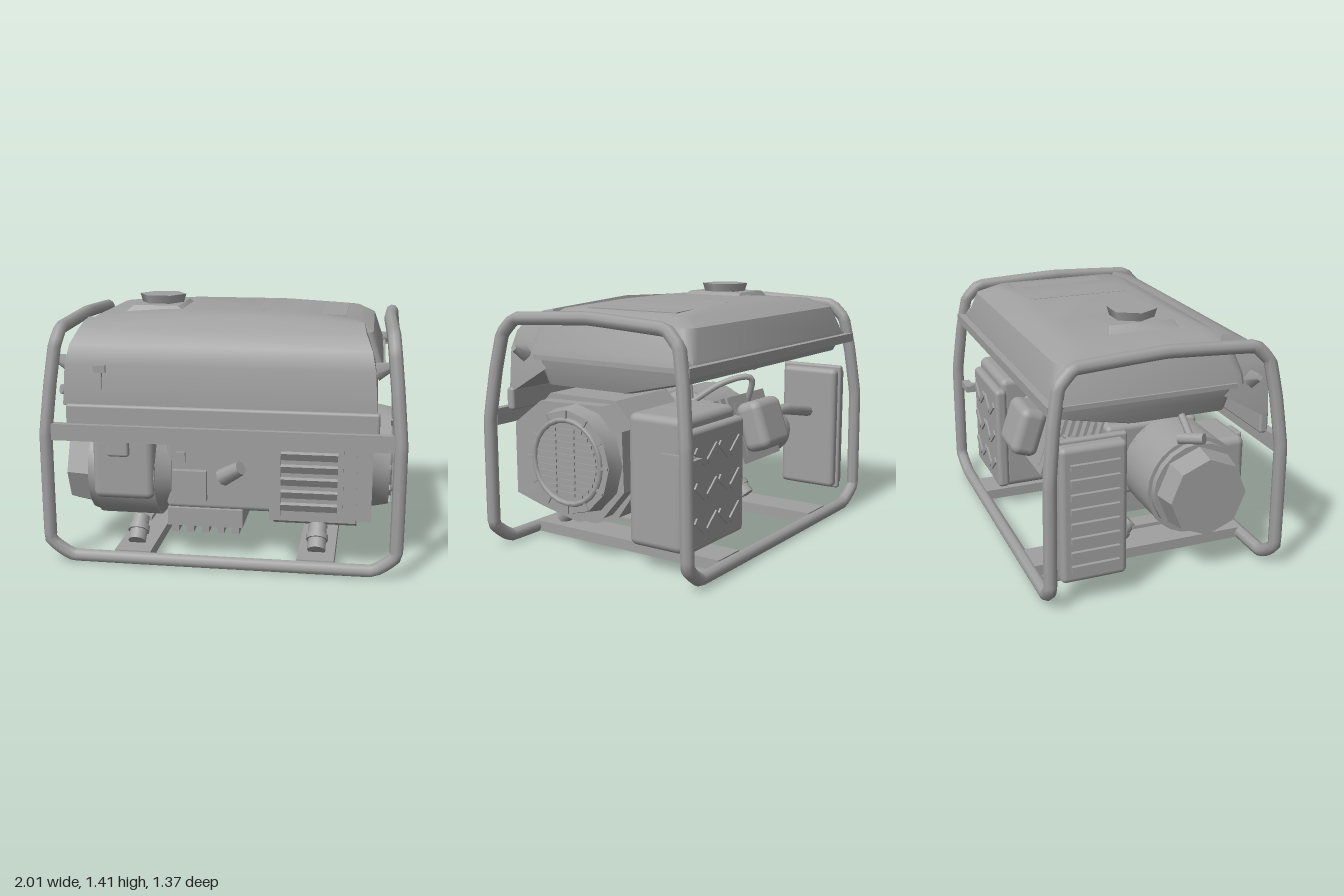
import * as THREE from 'three';
import { toCreasedNormals } from 'three/addons/utils/BufferGeometryUtils.js';
import { RoundedBoxGeometry } from 'three/addons/geometries/RoundedBoxGeometry.js';
import { ConvexGeometry } from 'three/addons/geometries/ConvexGeometry.js';

export function createModel() {
  const root = new THREE.Group();
  root.name = 'generator';
  const grey = new THREE.MeshStandardMaterial({ color: 0xa0a0a0 });
  grey.name = 'plain grey';

  const add = (name, geo, pos = [0, 0, 0], rot = [0, 0, 0], parent = root) => {
    const m = new THREE.Mesh(geo, grey);
    m.name = name;
    m.position.set(...pos);
    m.rotation.set(...rot);
    parent.add(m);
    return m;
  };
  // box given by its limits
  const box = (name, x0, x1, y0, y1, z0, z1, r = 0) => {
    const s = [x1 - x0, y1 - y0, z1 - z0];
    return add(name, r ? new RoundedBoxGeometry(...s, 3, r) : new THREE.BoxGeometry(...s),
      [(x0 + x1) / 2, (y0 + y1) / 2, (z0 + z1) / 2]);
  };
  // drum along x with a radius at each end
  const drum = (name, x0, x1, r0, r1, y, z, sides = 20) => add(name,
    toCreasedNormals(new THREE.CylinderGeometry(r1, r0, x1 - x0, sides), 0.6),
    [(x0 + x1) / 2, y, z], [0, 0, -Math.PI / 2]);
  // outline of [z, y] points drawn out along x
  const profileX = (name, pts, x0, x1) => {
    const shape = new THREE.Shape(pts.map(([z, y]) => new THREE.Vector2(-z, y)));
    const geo = new THREE.ExtrudeGeometry(shape, { depth: x1 - x0, bevelEnabled: false });
    return add(name, geo.rotateY(Math.PI / 2), [x0, 0, 0]);
  };
  // convex body through rectangular rings [halfX, z0, z1, y, corner]
  const hull = (name, rings) => {
    const pts = [];
    for (const [hx, z0, z1, y, c] of rings)
      for (const sx of [-1, 1]) for (const front of [0, 1])
        for (let i = 0; i <= 3; i++) {
          const a = i * Math.PI / 6;
          const dx = hx - c + c * Math.cos(a), dz = c - c * Math.sin(a);
          pts.push(new THREE.Vector3(sx * dx, y, front ? z1 - dz : z0 + dz));
        }
    return add(name, toCreasedNormals(new ConvexGeometry(pts), 0.5));
  };
  const pipe = (name, pts, r, closed = false, tension = 0.5) => add(name, new THREE.TubeGeometry(
    new THREE.CatmullRomCurve3(pts.map(p => new THREE.Vector3(...p)), closed, 'catmullrom', tension),
    closed ? 280 : 24, r, 8, closed));

  // tubular frame: one closed run along the floor and over both hoops
  const quarter = [[0.825, 0.035, 0.635], [0.955, 0.13, 0.648], [0.96, 0.72, 0.642],
    [0.935, 1.0, 0.61], [0.915, 1.19, 0.575], [0.905, 1.275, 0.49]];
  const at = (sx, sz) => quarter.map(([x, y, z]) => [sx > 0 ? x : 0.033 - x, y, z * sz]);
  pipe('frame', [...at(1, 1), [0.89, 1.3, 0], ...at(1, -1).reverse(),
    ...at(-1, -1), [-0.862, 1.3, 0], ...at(-1, 1).reverse()], 0.036, true, 0.06);
  box('frontRail', -0.91, 0.94, 0.69, 0.78, 0.61, 0.655);
  box('backRail', -0.89, 0.92, 1.05, 1.1, -0.635, -0.59);
  for (const x of [-0.47, 0.53]) {
    box('crossBeam', x - 0.1, x + 0.1, 0.045, 0.07, -0.62, 0.62);
    for (const s of [-1, 1]) box('beamLip', x + s * 0.09 - 0.01, x + s * 0.09 + 0.01, 0.01, 0.07, -0.62, 0.62);
    // rubber mounts, leaning towards each other
    for (const [z, tilt] of [[0.46, 0.78], [-0.08, -0.78]]) {
      add('mount', new THREE.CylinderGeometry(0.05, 0.05, 0.15, 12), [x, 0.14, z], [-tilt, 0, 0]);
      add('mountCollar', new THREE.CylinderGeometry(0.06, 0.06, 0.03, 12), [x, 0.14, z], [-tilt, 0, 0]);
    }
    box('mountPlate', x - 0.05, x + 0.05, 0.155, 0.175, -0.03, 0.36);
  }

  // fuel tank
  hull('tankTop', [[0.86, -0.6, 0.46, 1.07, 0.05], [0.85, -0.595, 0.46, 1.12, 0.06],
    [0.8, -0.55, 0.42, 1.27, 0.08], [0.72, -0.46, 0.36, 1.32, 0.1], [0.35, -0.4, 0.26, 1.348, 0.1]]);
  hull('tankUnderside', [[0.84, -0.58, 0.4, 1.07, 0.04], [0.83, -0.55, 0.39, 1.0, 0.05], [0.8, -0.2, 0.38, 0.92, 0.05]]);
  box('tankFlange', -0.87, 0.87, 1.06, 1.085, -0.61, 0.4);
  add('topPanel', new THREE.BoxGeometry(0.49, 0.03, 0.57), [0.405, 1.325, -0.09], [0, 0, -0.04]);
  hull('fillerBase', [[0.185, -0.2, 0.2, 1.32, 0.01], [0.13, -0.18, 0.18, 1.365, 0.01]])
    .position.x = -0.415;
  add('fuelCap', new THREE.CylinderGeometry(0.135, 0.12, 0.05, 6).toNonIndexed(), [-0.41, 1.387, 0], [0, Math.PI / 6, 0]);
  for (const s of [-1, 1]) for (const z of [-0.56, 0.5])
    add('tankBracket', new THREE.CylinderGeometry(0.02, 0.05, 0.1, 4), [s * 0.865, 1.1, z], [0, 0, -s * 1.2]);

  // sloping front cover over the control panel
  const cover = [];
  for (const [hx, y, z] of [[0.835, 0.88, 0.61], [0.835, 0.87, 0.58], [0.82, 1.1, 0.605], [0.8, 1.2, 0.575],
    [0.765, 1.28, 0.5], [0.755, 1.31, 0.42], [0.75, 1.32, 0.36], [0.83, 1.06, 0.26]])
    cover.push(new THREE.Vector3(-hx, y, z), new THREE.Vector3(hx, y, z));
  cover.push(new THREE.Vector3(0.1, 1.352, 0.37));
  add('frontCover', toCreasedNormals(new ConvexGeometry(cover), 0.5));
  box('coverSkirt', -0.82, 0.85, 0.76, 0.885, 0.575, 0.625, 0.015);
  box('switchPlate', -0.66, -0.595, 1.06, 1.1, 0.595, 0.625);
  box('switchStem', -0.625, -0.617, 0.97, 1.06, 0.6, 0.618);

  // alternator at the left end, in stepped drums
  const ay = 0.46, az = 0.26;
  drum('alternatorEnd', -0.87, -0.7, 0.22, 0.25, ay, az, 8);
  drum('alternatorRim', -0.74, -0.7, 0.26, 0.26, ay, az);
  drum('alternatorBody', -0.7, -0.36, 0.28, 0.28, ay, az, 24);
  drum('alternatorNeck', -0.38, -0.28, 0.28, 0.22, ay, az);
  box('socketHousing', -0.7, -0.36, 0.34, 0.7, 0.3, 0.56, 0.04);
  box('socket', -0.61, -0.49, 0.59, 0.69, 0.54, 0.59, 0.015);

  // engine block and base
  box('crankcase', -0.31, 0.3, 0.27, 0.7, -0.1, 0.46, 0.03);
  box('controlBox', -0.27, -0.08, 0.33, 0.5, 0.45, 0.5);
  box('controlTab', -0.25, -0.2, 0.54, 0.6, 0.45, 0.48);
  box('sump', -0.3, 0.12, 0.18, 0.28, -0.06, 0.48);
  for (let i = 0; i < 5; i++) box('sumpRib', -0.28 + i * 0.085, -0.24 + i * 0.085, 0.14, 0.19, -0.04, 0.47);
  add('oilDipstick', new THREE.CylinderGeometry(0.04, 0.05, 0.14, 8), [0.06, 0.5, 0.49], [0.6, 0, -0.9]);

  // finned cylinder leaning to the back
  const head = new THREE.Group();
  head.name = 'cylinderHead';
  head.position.set(-0.06, 0.53, -0.1);
  head.rotation.x = -1.25;
  root.add(head);
  add('barrel', new THREE.BoxGeometry(0.3, 0.36, 0.3), [0, 0.16, 0], [0, 0, 0], head);
  for (let i = 0; i < 7; i++)
    add('fin', new THREE.BoxGeometry(0.4, 0.015, 0.38), [0, 0.06 + i * 0.045, 0], [0, 0, 0], head);
  add('valveCover', new RoundedBoxGeometry(0.28, 0.16, 0.28, 3, 0.05), [0.04, 0.42, 0], [0, 0, 0], head);
  pipe('plugLead', [[-0.08, 0.76, -0.36], [-0.05, 0.91, -0.4], [0.05, 0.88, -0.27], [0.15, 0.75, -0.1]], 0.018);
  pipe('tankOutlet', [[0.0, 0.95, 0.13], [0.0, 0.88, 0.08], [0.0, 0.86, 0], [0.05, 0.7, -0.05]], 0.025);

  // fan shroud with a louvred front
  profileX('fanShroud', [[0.6, 0.69], [0.5, 0.76], [0.4, 0.86], [-0.05, 0.86], [-0.16, 0.74],
    [-0.18, 0.4], [-0.06, 0.23], [0.1, 0.17], [0.35, 0.18], [0.47, 0.25], [0.6, 0.28]], 0.28, 0.74);
  profileX('shroudStep', [[0.59, 0.69], [0.4, 0.83], [-0.02, 0.84], [-0.15, 0.72], [-0.16, 0.4],
    [-0.02, 0.24], [0.15, 0.19], [0.4, 0.24], [0.59, 0.29]], 0.74, 0.82);
  for (let i = 0; i < 5; i++)
    add('louvre', new THREE.BoxGeometry(0.3, 0.045, 0.02), [0.49, 0.36 + i * 0.07, 0.603], [0.5, 0, 0]);
  for (const x of [0.325, 0.655]) box('louvreFrame', x - 0.015, x + 0.015, 0.31, 0.69, 0.59, 0.618);

  // recoil starter with a slotted grille
  const cy = 0.54, cz = 0.145;
  drum('starterHousing', 0.81, 0.91, 0.3, 0.28, cy, cz, 12);
  add('starterRim', new THREE.TorusGeometry(0.225, 0.015, 6, 24), [0.91, cy, cz], [0, Math.PI / 2, 0]);
  for (let i = 0; i < 12; i++) {
    const a = i * Math.PI / 6;
    add('starterRib', new THREE.BoxGeometry(0.02, 0.015, 0.05),
      [0.91, cy + 0.25 * Math.sin(a), cz + 0.25 * Math.cos(a)], [-a, 0, 0]);
  }
  for (let i = -5; i <= 5; i++) {
    const y = cy + i * 0.034, half = Math.sqrt(0.2 * 0.2 - (i * 0.034) ** 2);
    box('grilleCentre', 0.905, 0.918, y - 0.009, y + 0.009, cz - 0.055, cz + 0.055);
    for (const s of [-1, 1]) {
      const len = Math.max(half - 0.07, 0.02);
      add('grilleSide', new THREE.BoxGeometry(0.015, 0.018, len), [0.91, y, cz + s * (0.07 + len / 2)]);
    }
  }

  // air cleaner box at the back
  box('airBox', 0.32, 0.83, 0.13, 0.83, -0.53, -0.19, 0.04);
  box('airBoxLid', 0.3, 0.82, 0.14, 0.77, -0.57, -0.5, 0.025);
  for (const y of [0.27, 0.45, 0.63])
    for (let i = 0; i < 4; i++)
      add('lidEmboss', new THREE.BoxGeometry(0.12, 0.035, 0.02), [0.4 + i * 0.11, y, -0.57], [0, 0, i % 2 ? 0.7 : -0.7]);
  box('intakeNeck', 0.1, 0.35, 0.58, 0.72, -0.4, -0.28, 0.04);
  box('airBoxBracket', 0.8, 0.93, 0.605, 0.645, -0.63, -0.58);
  box('airBoxBracketArm', 0.81, 0.85, 0.6, 0.65, -0.6, -0.41);

  // carburettor bowl and exhaust
  add('bowl', new THREE.SphereGeometry(0.13, 14, 10), [-0.43, 0.53, -0.31]);
  drum('bowlNeck', -0.42, -0.18, 0.08, 0.08, 0.58, -0.31, 12);
  pipe('exhaustPipe', [[-0.18, 0.62, -0.34], [-0.45, 0.66, -0.38], [-0.6, 0.64, -0.4], [-0.8, 0.6, -0.4]], 0.035);
  box('muffler', -0.91, -0.76, 0.13, 0.88, -0.58, -0.22, 0.03);
  box('mufflerSeam', -0.85, -0.81, 0.12, 0.9, -0.595, -0.2, 0.015);
  for (let i = 0; i < 8; i++) box('mufflerLouvre', -0.93, -0.9, 0.2 + i * 0.08, 0.235 + i * 0.08, -0.53, -0.27);

  // fuel valve by the left hoop
  add('fuelValve', new THREE.CylinderGeometry(0.03, 0.03, 0.14, 8), [-0.94, 0.85, 0.11], [0, 0.7, 1.4]);
  pipe('fuelHose', [[-0.9, 0.85, 0.12], [-0.8, 0.92, 0.12], [-0.7, 1.0, 0.1]], 0.02);
  return root;
}
